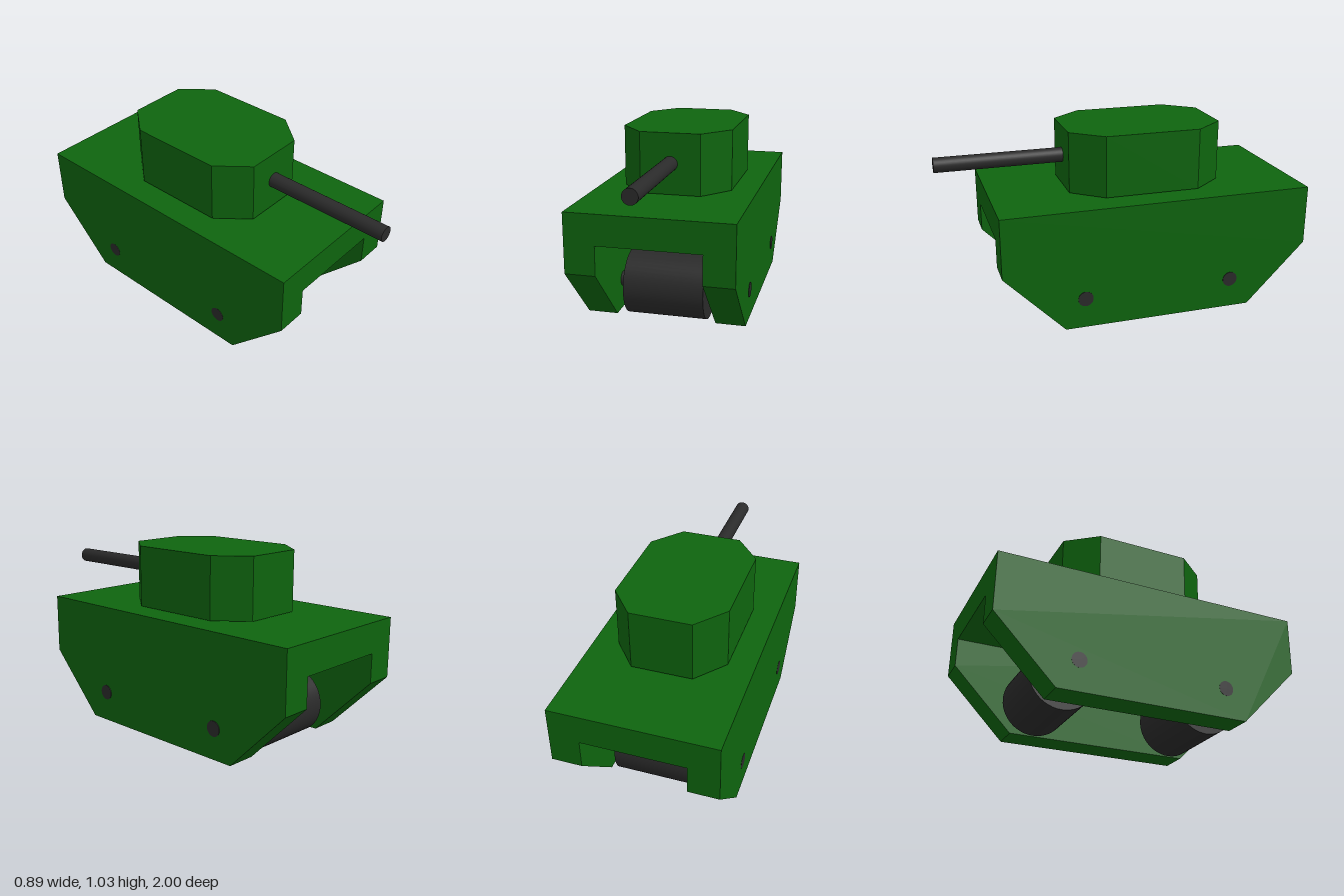
import * as THREE from 'three';

const green = new THREE.MeshStandardMaterial({ color: 0x0e640e });
const dark = new THREE.MeshStandardMaterial({ color: 0x2a2a2a });

const shapeOf = (points) => new THREE.Shape(points.map(([x, y]) => new THREE.Vector2(x, y)));

function addMesh(group, name, geometry, material, x = 0, y = 0, z = 0) {
  const mesh = new THREE.Mesh(geometry, material);
  mesh.name = name;
  mesh.position.set(x, y, z);
  group.add(mesh);
  return mesh;
}

// Cylinder lying along x, spanning x0..x1
function crossRod(group, name, radius, x0, x1, y, z) {
  const rod = new THREE.CylinderGeometry(radius, radius, x1 - x0, 48).rotateZ(Math.PI / 2);
  return addMesh(group, name, rod, dark, (x0 + x1) / 2, y, z);
}

export function createModel() {
  const model = new THREE.Group();
  model.name = 'toyTank';

  // Hull: two side plates with sloped ends, joined by a deck
  const hull = new THREE.Group();
  hull.name = 'hull';
  model.add(hull);
  const sideProfile = shapeOf([ // (-z, y)
    [-0.4, 0.015], [0.665, 0.015], [1, 0.355], [1, 0.685], [-0.73, 0.685], [-0.73, 0.355],
  ]);
  for (const [name, x0, x1] of [['rightSide', -0.447, -0.28], ['leftSide', 0.278, 0.443]]) {
    const plate = new THREE.ExtrudeGeometry(sideProfile, { depth: x1 - x0, bevelEnabled: false });
    addMesh(hull, name, plate.rotateY(Math.PI / 2), green, x0);
  }
  addMesh(hull, 'deck', new THREE.BoxGeometry(0.558, 0.168, 1.73), green, -0.001, 0.601, -0.135);

  // Rollers on axles that pass through both side plates
  for (const [name, z] of [['front', 0.288], ['rear', -0.55]]) {
    crossRod(model, name + 'Roller', 0.183, -0.222, 0.222, 0.183, z);
    crossRod(model, name + 'Axle', 0.042, -0.448, 0.446, 0.183, z);
  }

  // Turret: eight-sided block on a round neck, with a gun barrel
  const turret = new THREE.Group();
  turret.name = 'turret';
  turret.position.z = -0.132;
  model.add(turret);
  const outline = shapeOf([
    [0.167, -0.432], [0.305, -0.263], [0.305, 0.263], [0.167, 0.432],
    [-0.167, 0.432], [-0.305, 0.263], [-0.305, -0.263], [-0.167, -0.432],
  ]);
  const block = new THREE.ExtrudeGeometry(outline, { depth: 0.337, bevelEnabled: false });
  addMesh(turret, 'turretBlock', block.rotateX(-Math.PI / 2), green, 0, 0.692, 0);
  addMesh(turret, 'turretNeck', new THREE.CylinderGeometry(0.083, 0.083, 0.15, 48), dark, 0, 0.685, 0);
  const barrel = new THREE.CylinderGeometry(0.041, 0.041, 0.8, 32).rotateX(Math.PI / 2);
  addMesh(turret, 'gunBarrel', barrel, dark, 0, 0.862, 0.732);

  return model;
}
